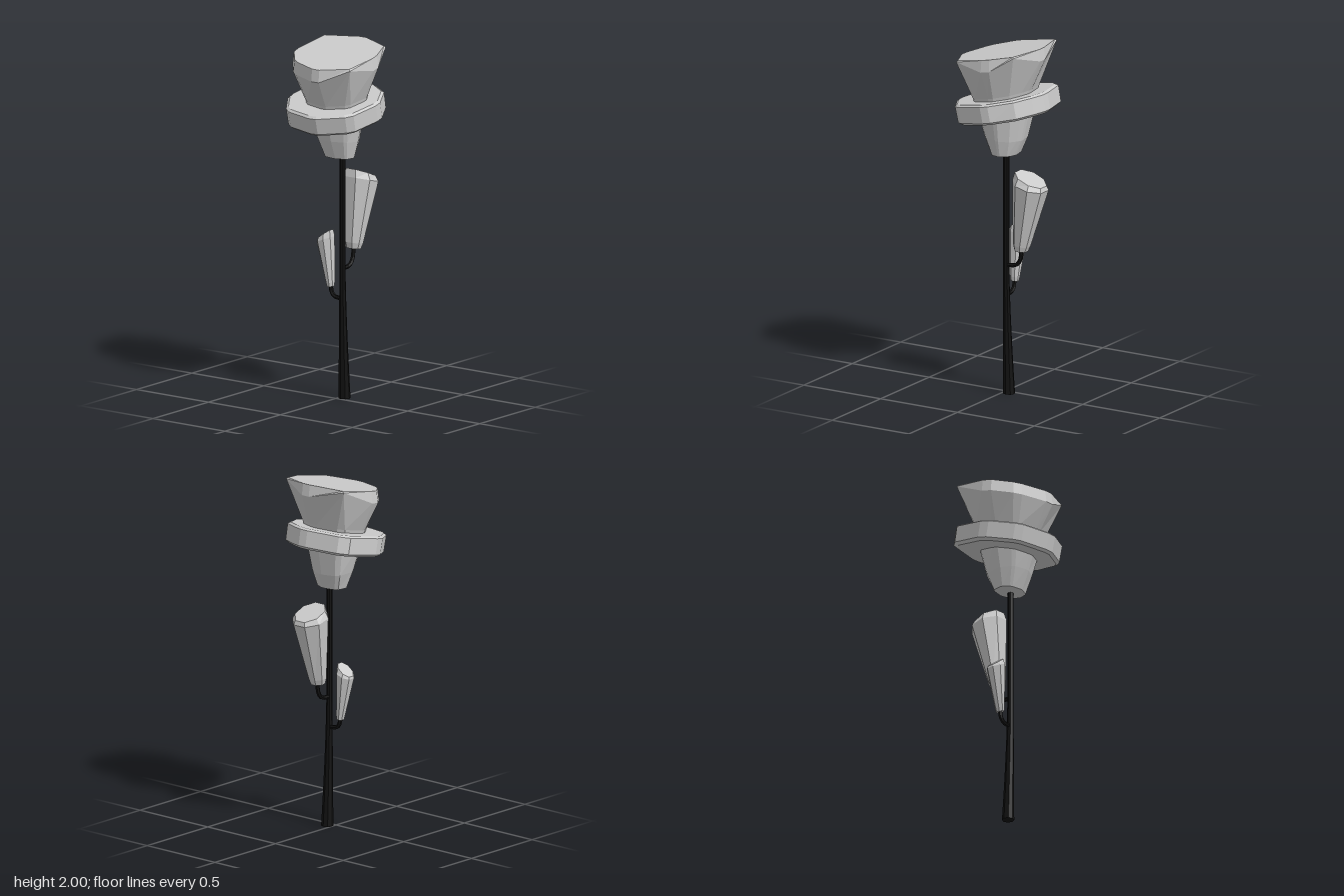
import * as THREE from 'three';

const grey = new THREE.MeshStandardMaterial({ color: 0xcccccc, flatShading: true });
const dark = new THREE.MeshStandardMaterial({ color: 0x111111, flatShading: true });

// Bevelled irregular octagon as [x, z] with unit radius.
const petalOutline = [
  [-0.1, -1], [0.63, -0.91], [0.81, -0.75], [0.99, -0.07], [0.99, 0.11], [0.89, 0.36], [0.68, 0.72], [0.21, 0.97],
  [0.04, 0.99], [-0.56, 0.88], [-0.7, 0.77], [-0.99, 0.25], [-1, 0.07], [-0.86, -0.52], [-0.75, -0.66], [-0.29, -0.96],
];

// The same outline with three pairs drawn to sharp corners; the third value marks a corner to lift.
const rimOutline = [
  [-0.08, -1], [0.75, -0.9, 1], [0.75, -0.9, 1], [0.97, -0.08], [0.97, 0.12], [0.71, 0.81, 1], [0.71, 0.81, 1], [0.2, 1],
  [0, 1.02], [-0.7, 0.91, 1], [-0.7, 0.91, 1], [-1, 0.28], [-1, 0.08], [-0.8, -0.49], [-0.69, -0.65], [-0.31, -0.96],
];

// Octagon with narrow bevels, used for the buds.
const budOutline = [];
for (let i = 0; i < 8; i++) {
  const a = ((i + 0.5) / 8) * Math.PI * 2;
  budOutline.push([Math.cos(a) * 1.08, Math.sin(a) * 1.08]);
}

// Closed skin through tilted sections, listed from bottom to top.
function loft(name, sections) {
  const pos = [];
  const index = [];
  const n = sections[0].outline.length;
  for (const { outline, y, rx, rz = rx, cx = 0, cz = 0, slope = 0, lift = 0 } of sections) {
    for (const [px, pz, corner = 0] of outline) {
      pos.push(cx + px * rx, y + slope * px * rx + corner * lift, cz + pz * rz);
    }
  }
  const last = (sections.length - 1) * n;
  for (let i = 0; i < n; i++) {
    const j = (i + 1) % n;
    for (let s = 0; s < last; s += n) {
      index.push(s + i, s + n + i, s + j, s + j, s + n + i, s + n + j);
    }
  }
  for (const s of [sections[0], sections[sections.length - 1]]) {
    pos.push(s.cx || 0, s.y, s.cz || 0);
  }
  const base = last + n;
  for (let i = 0; i < n; i++) {
    const j = (i + 1) % n;
    index.push(base, i, j, base + 1, last + j, last + i);
  }
  const geo = new THREE.BufferGeometry();
  geo.setAttribute('position', new THREE.Float32BufferAttribute(pos, 3));
  geo.setIndex(index);
  geo.computeVertexNormals();
  const mesh = new THREE.Mesh(geo, grey);
  mesh.name = name;
  return mesh;
}

// Thin bent stalk from the stem to a bud.
function stalk(name, points) {
  const curve = new THREE.CatmullRomCurve3(points.map((p) => new THREE.Vector3(...p)));
  const mesh = new THREE.Mesh(new THREE.TubeGeometry(curve, 8, 0.012, 6), dark);
  mesh.name = name;
  return mesh;
}

// Stem: slim cylinder whose foot widens and leans outward.
function makeStem() {
  const height = 1.42;
  const geo = new THREE.CylinderGeometry(0.017, 0.017, height, 8, 12);
  geo.translate(0, height / 2, 0);
  const p = geo.attributes.position;
  for (let i = 0; i < p.count; i++) {
    const y = p.getY(i);
    const flare = Math.max(0, 1 - y / 0.75) ** 1.5;
    const grow = 1 + flare;
    p.setXYZ(i, p.getX(i) * grow + 0.021 + 0.018 * flare, y, p.getZ(i) * grow + 0.03);
  }
  geo.computeVertexNormals();
  const mesh = new THREE.Mesh(geo, dark);
  mesh.name = 'stem';
  return mesh;
}

export function createModel() {
  const model = new THREE.Group();
  model.name = 'flower';
  model.add(makeStem());

  // Flower head: calyx, collar of petals and upper bloom, all leaning to one side
  const head = new THREE.Group();
  head.name = 'flowerHead';
  const outline = petalOutline;
  head.add(
    loft('calyx', [
      { outline, y: 1.37, rx: 0.07, rz: 0.092, cx: 0.012, cz: 0.018 },
      { outline, y: 1.467, rx: 0.11, rz: 0.122, cx: 0.008, cz: 0.013, slope: -0.08 },
      { outline, y: 1.61, rx: 0.147, rz: 0.157, cx: 0.008, cz: 0.008, slope: 0.2 },
    ]),
    loft('petalCollar', [
      { outline, y: 1.586, rx: 0.25, rz: 0.258, cx: 0.012, slope: 0.2 },
      { outline, y: 1.6, rx: 0.267, rz: 0.278, cx: 0.011, slope: 0.2 },
      { outline, y: 1.69, rx: 0.269, rz: 0.279, cx: -0.008, slope: 0.2 },
      { outline, y: 1.7, rx: 0.254, rz: 0.264, cx: -0.01, slope: 0.2 },
    ]),
    loft('bloom', [
      { outline, y: 1.66, rx: 0.15, rz: 0.172, cz: 0.01, slope: 0.2 },
      { outline, y: 1.72, rx: 0.168, rz: 0.187, cz: 0.01, slope: 0.2 },
      { outline: rimOutline, y: 1.888, rx: 0.252, rz: 0.254, cz: 0.003, slope: 0.19, lift: 0.06 },
      { outline: rimOutline, y: 1.956, rx: 0.243, rz: 0.245, cz: 0.003, slope: 0.19 },
    ]),
  );
  model.add(head);

  // Large side bud
  const largeBud = new THREE.Group();
  largeBud.name = 'largeBud';
  largeBud.add(
    loft('largeBudPetals', [
      { outline: budOutline, y: 0.832, rx: 0.034, rz: 0.042, cx: 0.118, cz: 0.03, slope: -0.15 },
      { outline: budOutline, y: 0.865, rx: 0.044, rz: 0.052, cx: 0.122, cz: 0.03, slope: -0.15 },
      { outline: budOutline, y: 1.215, rx: 0.093, rz: 0.099, cx: 0.179, cz: 0.03, slope: -0.27 },
      { outline: budOutline, y: 1.25, rx: 0.083, rz: 0.08, cx: 0.181, cz: 0.03, slope: -0.42 },
    ]),
    stalk('largeBudStalk', [[0.025, 0.735, 0.03], [0.085, 0.742, 0.03], [0.112, 0.775, 0.03], [0.122, 0.85, 0.03]]),
  );
  model.add(largeBud);

  // Small bud, built pointing along +x and turned to the back
  const smallBud = new THREE.Group();
  smallBud.name = 'smallBud';
  smallBud.add(
    loft('smallBudPetals', [
      { outline: budOutline, y: 0.622, rx: 0.018, rz: 0.023, cx: 0.053, slope: -0.15 },
      { outline: budOutline, y: 0.645, rx: 0.022, rz: 0.027, cx: 0.055, slope: -0.15 },
      { outline: budOutline, y: 0.885, rx: 0.047, rz: 0.05, cx: 0.088, slope: -0.4 },
      { outline: budOutline, y: 0.911, rx: 0.042, rz: 0.041, cx: 0.09, slope: -0.75 },
    ]),
    stalk('smallBudStalk', [[-0.03, 0.563, 0], [0.025, 0.57, 0], [0.045, 0.59, 0], [0.054, 0.635, 0]]),
  );
  smallBud.rotation.y = Math.PI / 2;
  smallBud.position.x = 0.023;
  model.add(smallBud);

  return model;
}
